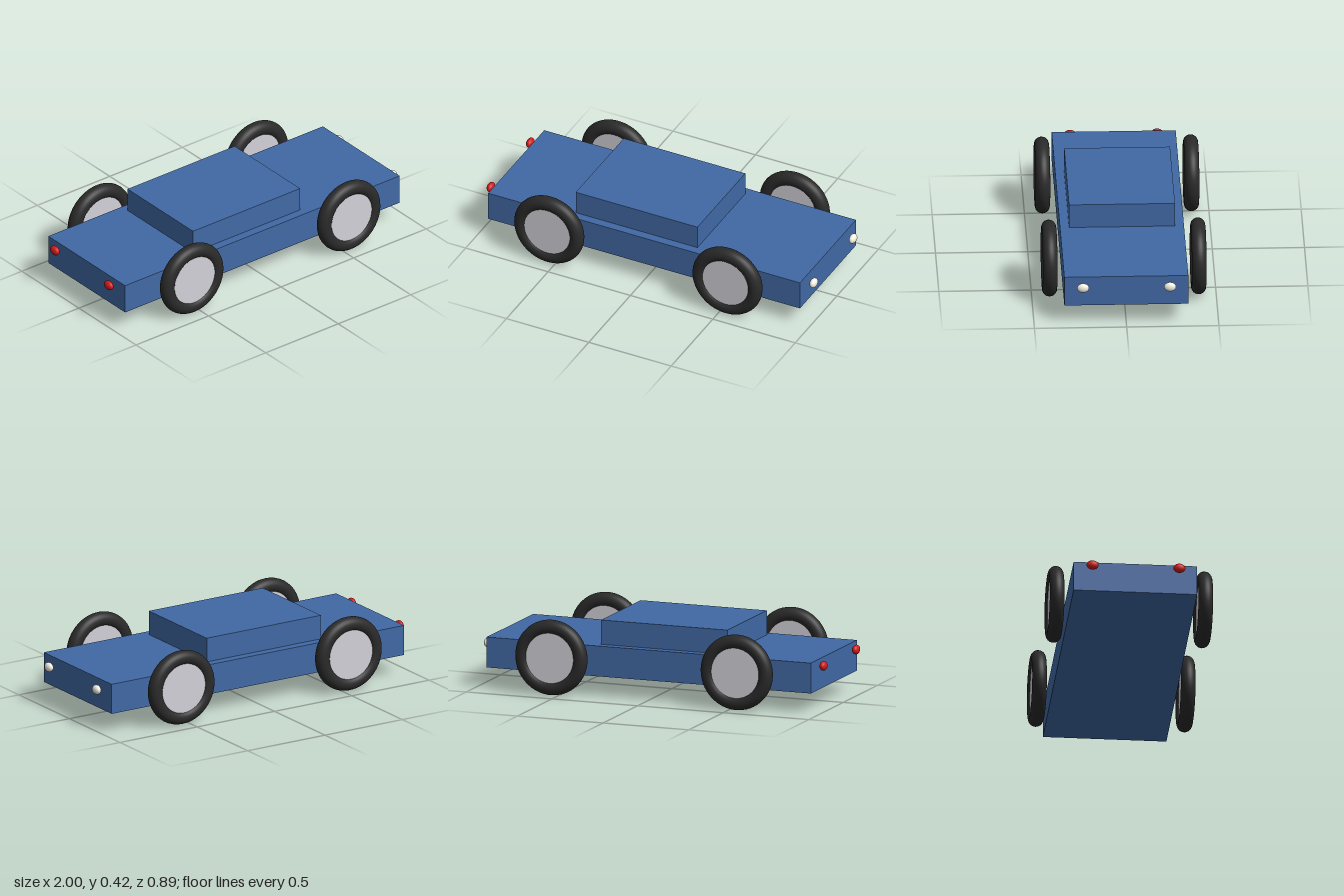
import * as THREE from 'three';

const material = (color) => new THREE.MeshStandardMaterial({ color });

export function createModel() {
  const car = new THREE.Group();
  car.name = 'car';

  const paint = material(0x4169a5);
  const rubber = material(0x2a2a2a);
  const metal = material(0xd2d1d8);
  const white = material(0xf2eee2);
  const red = material(0xd01c1c);

  const add = (parent, name, geometry, mat, x = 0, y = 0, z = 0) => {
    const mesh = new THREE.Mesh(geometry, mat);
    mesh.name = name;
    mesh.position.set(x, y, z);
    parent.add(mesh);
    return mesh;
  };

  // Lower body and cabin
  add(car, 'body', new THREE.BoxGeometry(1.892, 0.168, 0.672), paint, 0, 0.195, 0);
  add(car, 'cabin', new THREE.BoxGeometry(0.738, 0.135, 0.574), paint, -0.07, 0.346, 0);

  // Wheels: round tyre with a flat hub disc slightly recessed in it
  const tyre = new THREE.TorusGeometry(0.168, 0.04, 24, 64);
  const hub = new THREE.CylinderGeometry(0.139, 0.139, 0.054, 48).rotateX(Math.PI / 2);
  for (const [end, x] of [['front', 0.541], ['rear', -0.541]]) {
    for (const [side, z] of [['Right', 0.404], ['Left', -0.404]]) {
      const wheel = new THREE.Group();
      wheel.name = `${end}${side}Wheel`;
      wheel.position.set(x, 0.21, z);
      add(wheel, 'tyre', tyre, rubber);
      add(wheel, 'hub', hub, metal);
      car.add(wheel);
    }
  }

  // Lamps: small ellipsoids just off each end of the body
  const lamp = new THREE.SphereGeometry(1, 32, 20).scale(0.02, 0.026, 0.033);
  for (const z of [0.236, -0.236]) {
    add(car, 'headlight', lamp, white, 0.979, 0.228, z);
    add(car, 'tailLight', lamp, red, -0.98, 0.248, z);
  }

  return car;
}
